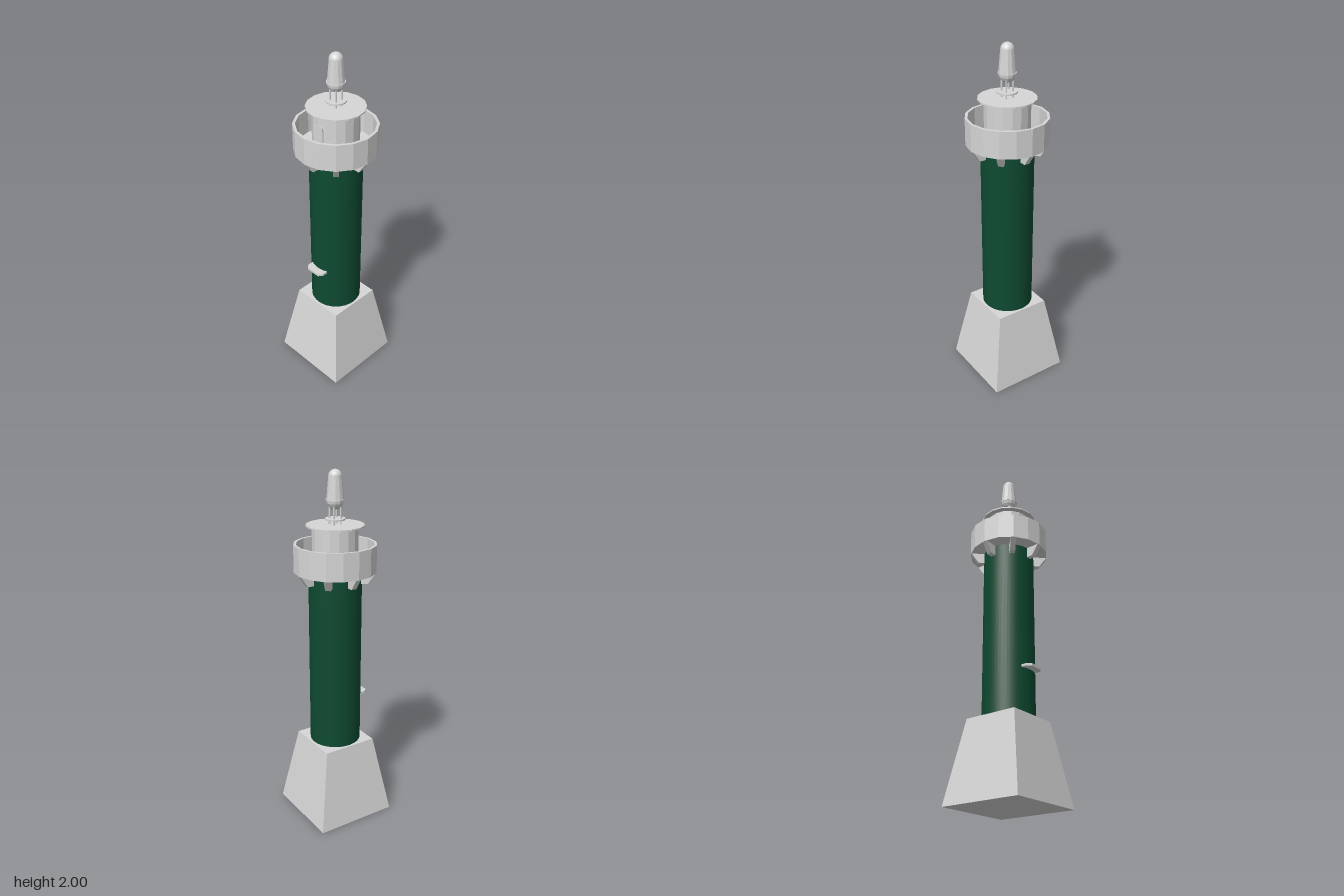
import * as THREE from 'three';

const grey = new THREE.MeshStandardMaterial({ color: 0xd6d6d6 });
grey.name = 'pale grey';
const green = new THREE.MeshStandardMaterial({ color: 0x0e4a31 });
green.name = 'dark green';

// Faceted normals baked into the geometry
function faceted(geometry) {
  const g = geometry.index ? geometry.toNonIndexed() : geometry;
  g.computeVertexNormals();
  return g;
}

function add(parent, name, geometry, material, x = 0, y = 0, z = 0) {
  const mesh = new THREE.Mesh(geometry, material);
  mesh.name = name;
  mesh.position.set(x, y, z);
  parent.add(mesh);
  return mesh;
}

// Cylinder given by its bottom and top heights
function drum(parent, name, rBottom, rTop, y0, y1, sides, material, flat = false) {
  const g = new THREE.CylinderGeometry(rTop, rBottom, y1 - y0, sides);
  return add(parent, name, flat ? faceted(g) : g, material, 0, (y0 + y1) / 2, 0);
}

function lathe(points, sides) {
  return new THREE.LatheGeometry(points.map(([r, y]) => new THREE.Vector2(r, y)), sides);
}

function extrude(points, depth) {
  const shape = new THREE.Shape(points.map(([x, y]) => new THREE.Vector2(x, y)));
  return new THREE.ExtrudeGeometry(shape, { depth, bevelEnabled: false });
}

export function createModel() {
  const model = new THREE.Group();
  model.name = 'lighthouse';

  // Square tapered plinth
  const plinth = new THREE.CylinderGeometry(0.158 * Math.SQRT2, 0.238 * Math.SQRT2, 0.46, 4);
  plinth.rotateY(Math.PI / 4);
  add(model, 'plinth', faceted(plinth), grey, 0, 0.23, 0);

  // Round tower
  drum(model, 'tower', 0.145, 0.145, 0.46, 1.47, 48, green);

  // Small canopy on the side of the tower
  const canopy = extrude([[-0.13, -0.06], [-0.165, -0.06], [-0.187, -0.042],
    [-0.187, 0.042], [-0.165, 0.06], [-0.13, 0.06]], 0.014);
  canopy.rotateX(-Math.PI / 2);
  add(model, 'doorCanopy', canopy, grey, 0, 0.715, 0);

  // Gallery floor and parapet
  const gallery = lathe([[0.13, 1.465], [0.225, 1.465], [0.225, 1.615],
    [0.21, 1.615], [0.21, 1.48], [0.11, 1.48]], 16);
  add(model, 'gallery', faceted(gallery), grey);

  // Brackets under the gallery
  const bracket = extrude([[0.135, 1.405], [0.18, 1.405], [0.222, 1.466], [0.135, 1.466]], 0.03);
  bracket.translate(0, 0, -0.015);
  for (let i = 0; i < 8; i++) {
    add(model, 'galleryBracket', bracket, grey).rotation.y = i * Math.PI / 4;
  }

  // Watch room, door and roof
  drum(model, 'watchRoom', 0.125, 0.125, 1.47, 1.71, 16, grey, true);
  add(model, 'watchRoomDoor', new THREE.BoxGeometry(0.012, 0.165, 0.06), grey, -0.12, 1.5625, 0);
  drum(model, 'roof', 0.157, 0.157, 1.708, 1.716, 16, grey, true);

  // Lamp stand
  drum(model, 'standPlate', 0.055, 0.055, 1.741, 1.749, 24, grey);
  for (let i = 0; i < 4; i++) {
    const a = Math.PI / 4 + i * Math.PI / 2;
    const leg = drum(model, 'standLeg', 0.005, 0.005, 1.714, 1.82, 8, grey);
    leg.position.x = 0.03 * Math.cos(a);
    leg.position.z = 0.03 * Math.sin(a);
  }

  // Lamp: bowl, rim, tapered body and dome
  const bowl = lathe([[0, 1.794], [0.02, 1.798], [0.035, 1.81], [0.044, 1.826], [0.047, 1.842]], 12);
  add(model, 'lampBowl', faceted(bowl), grey);
  drum(model, 'lampRim', 0.05, 0.05, 1.841, 1.849, 12, grey, true);
  drum(model, 'lampBody', 0.046, 0.036, 1.849, 1.964, 12, grey, true);
  add(model, 'lampDome', new THREE.SphereGeometry(0.036, 24, 10, 0, Math.PI * 2, 0, Math.PI / 2), grey, 0, 1.964, 0);

  return model;
}
